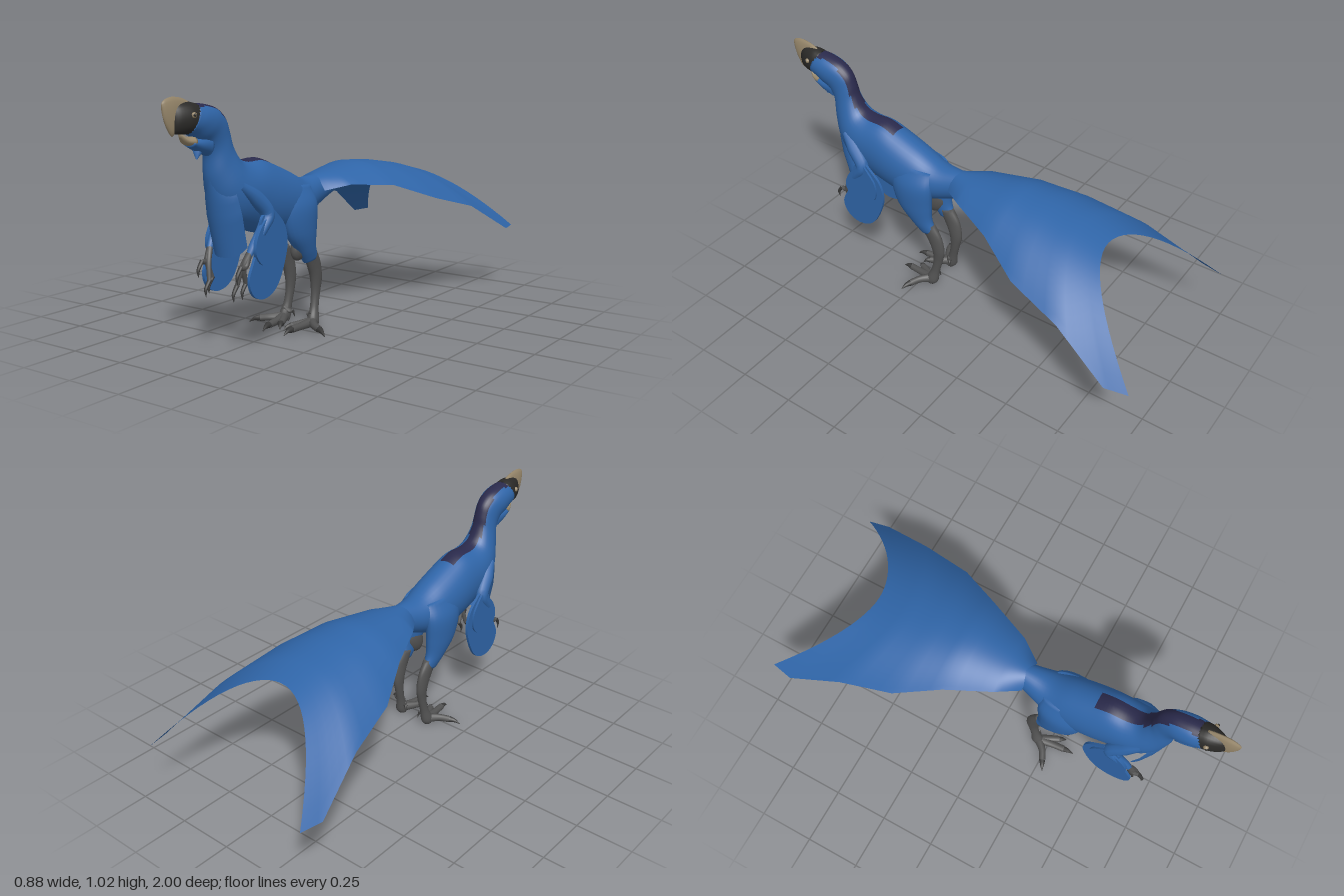
import * as THREE from 'three';

const mat = (name, color, side = THREE.FrontSide) => {
  const m = new THREE.MeshStandardMaterial({ color, side });
  m.name = name;
  return m;
};
const blue = mat('blue plumage', 0x2f65a8);
const blueSheet = mat('blue feather sheet', 0x2f65a8, THREE.DoubleSide);
const nape = mat('dark violet nape', 0x2a2a4c);
const face = mat('dark face', 0x2a2927);
const tan = mat('tan beak', 0x96866a);
const grey = mat('grey scales', 0x525252);
const clawDark = mat('dark claw', 0x3a3a3a);

// Smooth loft; each section is [z, y of one edge, z, y of the opposite edge, half width, centre x]
function loft(sections, steps, sides, pick = () => 0) {
  const edgeA = new THREE.CatmullRomCurve3(sections.map(s => new THREE.Vector3(s[4], s[1], s[0])), false, 'catmullrom');
  const edgeB = new THREE.CatmullRomCurve3(sections.map(s => new THREE.Vector3(s[5] || 0, s[3], s[2])), false, 'catmullrom');
  const pos = [], buckets = [[], []];
  for (let i = 0; i <= steps; i++) {
    const p = edgeA.getPoint(i / steps), q = edgeB.getPoint(i / steps);
    for (let j = 0; j < sides; j++) {
      const a = (j / sides) * Math.PI * 2, c = Math.cos(a) / 2;
      pos.push(q.x + p.x * Math.sin(a), (p.y + q.y) / 2 + (p.y - q.y) * c, (p.z + q.z) / 2 + (p.z - q.z) * c);
    }
  }
  for (let i = 0; i < steps; i++) for (let j = 0; j < sides; j++) {
    const k = (j + 1) % sides, a = i * sides + j, b = i * sides + k;
    const a2 = a + sides, b2 = b + sides;
    const up = Math.cos(((j + 0.5) / sides) * Math.PI * 2);
    buckets[pick((pos[a * 3] + pos[b * 3]) / 2, pos[a * 3 + 2], up)].push(a, a2, b, b, a2, b2);
  }
  // End caps
  const last = steps * sides;
  for (let j = 1; j < sides - 1; j++) {
    buckets[0].push(0, j, j + 1, last, last + j + 1, last + j);
  }
  const g = new THREE.BufferGeometry();
  g.setAttribute('position', new THREE.Float32BufferAttribute(pos, 3));
  g.setIndex([...buckets[0], ...buckets[1]]);
  g.addGroup(0, buckets[0].length, 0);
  g.addGroup(buckets[0].length, buckets[1].length, 1);
  g.computeVertexNormals();
  return g;
}

// Tapered tube through points [x, y, z, radius]
function limb(points, sides = 10) {
  const curve = new THREE.CatmullRomCurve3(points.map(p => new THREE.Vector3(p[0], p[1], p[2])));
  const n = (points.length - 1) * 5;
  const g = new THREE.TubeGeometry(curve, n, 1, sides);
  const P = g.attributes.position, v = new THREE.Vector3();
  for (let i = 0; i <= n; i++) {
    const c = curve.getPointAt(i / n), f = curve.getUtoTmapping(i / n) * (points.length - 1);
    const k = Math.min(Math.floor(f), points.length - 2);
    const r = THREE.MathUtils.lerp(points[k][3], points[k + 1][3], f - k);
    for (let j = 0; j <= sides; j++) {
      const id = i * (sides + 1) + j;
      v.fromBufferAttribute(P, id).sub(c).multiplyScalar(r).add(c);
      P.setXYZ(id, v.x, v.y, v.z);
    }
  }
  return g;
}

// Open sheet from a function of (u across, v along)
function sheet(nu, nv, fn) {
  const g = new THREE.PlaneGeometry(1, 1, nu, nv), P = g.attributes.position;
  for (let i = 0; i < P.count; i++) P.setXYZ(i, ...fn(P.getX(i) * 2, 0.5 - P.getY(i)));
  g.computeVertexNormals();
  return g;
}

// Row lookup with smooth interpolation
function rowAt(rows, v) {
  const f = v * (rows.length - 1), k = Math.min(Math.floor(f), rows.length - 2);
  return rows[k].map((a, i) => THREE.MathUtils.lerp(a, rows[k + 1][i], f - k));
}

// Thin plate in the side plane from outline points [z, y]
function plate(outline, depth) {
  const shape = new THREE.Shape();
  shape.moveTo(...outline[0]);
  shape.splineThru(outline.slice(1).concat([outline[0]]).map(p => new THREE.Vector2(...p)));
  return new THREE.ExtrudeGeometry(shape, { depth, bevelEnabled: false, curveSegments: 30 }).rotateY(-Math.PI / 2);
}

export function createModel() {
  const root = new THREE.Group();
  const add = (name, geo, material) => {
    const m = new THREE.Mesh(geo, material);
    m.name = name;
    root.add(m);
    return m;
  };

  // Tail, trunk, neck and head in one skin, with the dark stripe along the nape
  add('body', loft([
    [-0.22, 0.63, -0.22, 0.61, 0.01], [-0.11, 0.645, -0.12, 0.575, 0.03],
    [0, 0.645, 0, 0.54, 0.045], [0.1, 0.642, 0.1, 0.505, 0.06],
    [0.2, 0.645, 0.19, 0.47, 0.085], [0.3, 0.688, 0.3, 0.43, 0.105],
    [0.4, 0.728, 0.42, 0.44, 0.11], [0.48, 0.757, 0.54, 0.47, 0.106],
    [0.56, 0.757, 0.66, 0.52, 0.1], [0.61, 0.775, 0.725, 0.6, 0.085],
    [0.642, 0.83, 0.757, 0.7, 0.062], [0.655, 0.88, 0.765, 0.79, 0.052],
    [0.675, 0.93, 0.79, 0.835, 0.053], [0.72, 0.968, 0.83, 0.855, 0.059],
    [0.78, 0.986, 0.86, 0.875, 0.059], [0.84, 0.993, 0.885, 0.882, 0.053],
  ], 75, 36, (x, z, up) => (up > 0 && z > 0.41 && Math.abs(x) < 0.033 ? 1 : 0)), [blue, nape]);

  // Face, beak and jaw
  add('face', loft([[0.83, 0.992, 0.875, 0.88, 0.054], [0.87, 1.0, 0.905, 0.882, 0.049],
    [0.92, 0.995, 0.935, 0.885, 0.033], [0.952, 0.98, 0.952, 0.89, 0.016]], 12, 24), face);
  add('upperBeak', loft([[0.86, 1.0, 0.9, 0.95, 0.012], [0.9, 1.015, 0.935, 0.9, 0.015],
    [0.95, 1.021, 0.95, 0.878, 0.017], [0.985, 1.013, 0.975, 0.91, 0.012],
    [1.0, 1.0, 0.993, 0.95, 0.004]], 20, 18), tan);
  add('throat', loft([[0.76, 0.88, 0.77, 0.79, 0.04], [0.81, 0.87, 0.82, 0.81, 0.038],
    [0.86, 0.862, 0.868, 0.836, 0.03]], 10, 20), blue);
  add('lowerBeak', loft([[0.845, 0.872, 0.855, 0.834, 0.034], [0.88, 0.872, 0.885, 0.845, 0.024],
    [0.91, 0.892, 0.912, 0.875, 0.006]], 10, 18), tan);
  add('wattle', limb([[0, 0.85, 0.8, 0.034], [0, 0.815, 0.815, 0.02], [0, 0.783, 0.822, 0.002]]), blue);

  // Chest bib hanging in front of the breast
  const bibRows = [[0.7, 0.757, 0.055], [0.62, 0.742, 0.082], [0.54, 0.726, 0.09], [0.46, 0.708, 0.087], [0.39, 0.692, 0.085]];
  add('chestBib', sheet(16, 16, (u, v) => {
    const [y, z, w] = rowAt(bibRows, v);
    return [u * w, y + 0.04 * u ** 4 * v, z - 0.055 * u * u];
  }), blueSheet);

  // Tail fan rows: centre z, centre y, edge x, edge z, edge y
  const fanRows = [[0.1, 0.64, 0.07, 0.1, 0.58], [0, 0.652, 0.14, 0, 0.6], [-0.2, 0.676, 0.23, -0.2, 0.58],
    [-0.35, 0.662, 0.33, -0.4, 0.505], [-0.5, 0.637, 0.38, -0.645, 0.44],
    [-0.6, 0.612, 0.44, -0.9, 0.3], [-0.65, 0.6, 0.42, -1, 0.3]];
  add('tailFan', sheet(28, 24, (u, v) => {
    const [zc, yc, xe, ze, ye] = rowAt(fanRows, v), t = Math.abs(u);
    return [u * xe, yc + (ye - yc) * t ** 2.1, zc + (ze - zc) * t ** 1.9];
  }), blueSheet);

  const wing = [[0.52, 0.57], [0.45, 0.5], [0.43, 0.42], [0.45, 0.34], [0.49, 0.265], [0.54, 0.228],
    [0.6, 0.222], [0.65, 0.25], [0.67, 0.31], [0.64, 0.38], [0.6, 0.46], [0.59, 0.54]];
  const covert = [[0.53, 0.57], [0.47, 0.49], [0.47, 0.41], [0.53, 0.36], [0.6, 0.36], [0.64, 0.42], [0.61, 0.5]];

  for (const s of [1, -1]) {
    const side = s > 0 ? 'left' : 'right';
    const at = pts => pts.map(([x, ...rest]) => [x * s, ...rest]);

    // Eye
    const eye = add(side + 'Eye', new THREE.SphereGeometry(0.011, 14, 10), tan);
    eye.position.set(0.047 * s, 0.953, 0.882);
    const pupil = add(side + 'Pupil', new THREE.SphereGeometry(0.006, 10, 8), face);
    pupil.position.set(0.055 * s, 0.954, 0.886);

    // Arm with layered feathers
    add(side + 'Arm', limb(at([[0.075, 0.67, 0.66, 0.02], [0.095, 0.62, 0.6, 0.034], [0.112, 0.55, 0.545, 0.03],
      [0.112, 0.5, 0.575, 0.024], [0.103, 0.43, 0.63, 0.017], [0.098, 0.385, 0.655, 0.01]])), blue);
    const w = add(side + 'WingFeathers', plate(wing, 0.012), blue);
    w.position.x = 0.115 * s + 0.006;
    const c = add(side + 'WingCoverts', plate(covert, 0.016), blue);
    c.position.x = 0.122 * s + 0.008;

    // Fingers
    [[0.07, 0.705, 0.225], [0.085, 0.67, 0.23], [0.098, 0.715, 0.3]].forEach(([x, z, y], i) => {
      add(`${side}Finger${i + 1}`, limb(at([[0.1, 0.41, 0.645, 0.013], [(x + 0.1) / 2, 0.36, 0.67, 0.011],
        [x, y + 0.06, z - 0.02, 0.009]]), 8), grey);
      add(`${side}FingerClaw${i + 1}`, limb(at([[x, y + 0.065, z - 0.022, 0.009], [x, y + 0.03, z + 0.002, 0.007],
        [x, y, z, 0.001]]), 8), clawDark);
    });

    // Thigh, inner thigh skin and shank
    add(side + 'Thigh', loft([[0.39, 0.64, 0.2, 0.62, 0.025, 0.06 * s], [0.4, 0.54, 0.185, 0.55, 0.046, 0.078 * s],
      [0.37, 0.43, 0.19, 0.45, 0.046, 0.078 * s], [0.3, 0.35, 0.19, 0.37, 0.034, 0.076 * s],
      [0.25, 0.295, 0.165, 0.315, 0.022, 0.072 * s]], 24, 22), blue);
    const inner = add(side + 'InnerThigh', new THREE.SphereGeometry(1, 18, 12), grey);
    inner.scale.set(0.03, 0.07, 0.05);
    inner.rotation.x = -0.6;
    inner.position.set(0.062 * s, 0.375, 0.265);
    add(side + 'Shank', loft([[0.26, 0.34, 0.18, 0.35, 0.026, 0.071 * s], [0.225, 0.28, 0.142, 0.285, 0.022, 0.07 * s],
      [0.198, 0.225, 0.13, 0.21, 0.021, 0.068 * s], [0.188, 0.16, 0.142, 0.15, 0.018, 0.067 * s],
      [0.198, 0.095, 0.158, 0.085, 0.018, 0.07 * s], [0.218, 0.05, 0.165, 0.03, 0.024, 0.075 * s],
      [0.22, 0.02, 0.18, 0.008, 0.022, 0.075 * s]], 32, 18), grey);

    // Toes: knuckle, claw root and tip
    [[[0.065, 0.026, 0.27], [0.06, 0.025, 0.325], [0.055, 0.008, 0.375]],
      [[0.115, 0.03, 0.24], [0.155, 0.026, 0.262], [0.2, 0.006, 0.285]],
      [[0.045, 0.028, 0.25], [0.028, 0.026, 0.285], [0.01, 0.008, 0.315]],
      [[0.052, 0.055, 0.19], [0.044, 0.06, 0.185], [0.036, 0.03, 0.175]]].forEach(([k, r, t], i) => {
      const thick = i === 3 ? 0.6 : 1;
      add(`${side}Toe${i + 1}`, limb(at([[0.075, i === 3 ? 0.075 : 0.032, 0.2, 0.022 * thick],
        [...k, 0.016 * thick], [...r, 0.015 * thick]]), 10), grey);
      add(`${side}ToeClaw${i + 1}`, limb(at([[...r, 0.015 * thick],
        [(r[0] + t[0]) / 2, (r[1] + t[1]) / 2 + 0.006, (r[2] + t[2]) / 2, 0.009 * thick], [...t, 0.001]]), 8), clawDark);
    });
  }
  return root;
}
